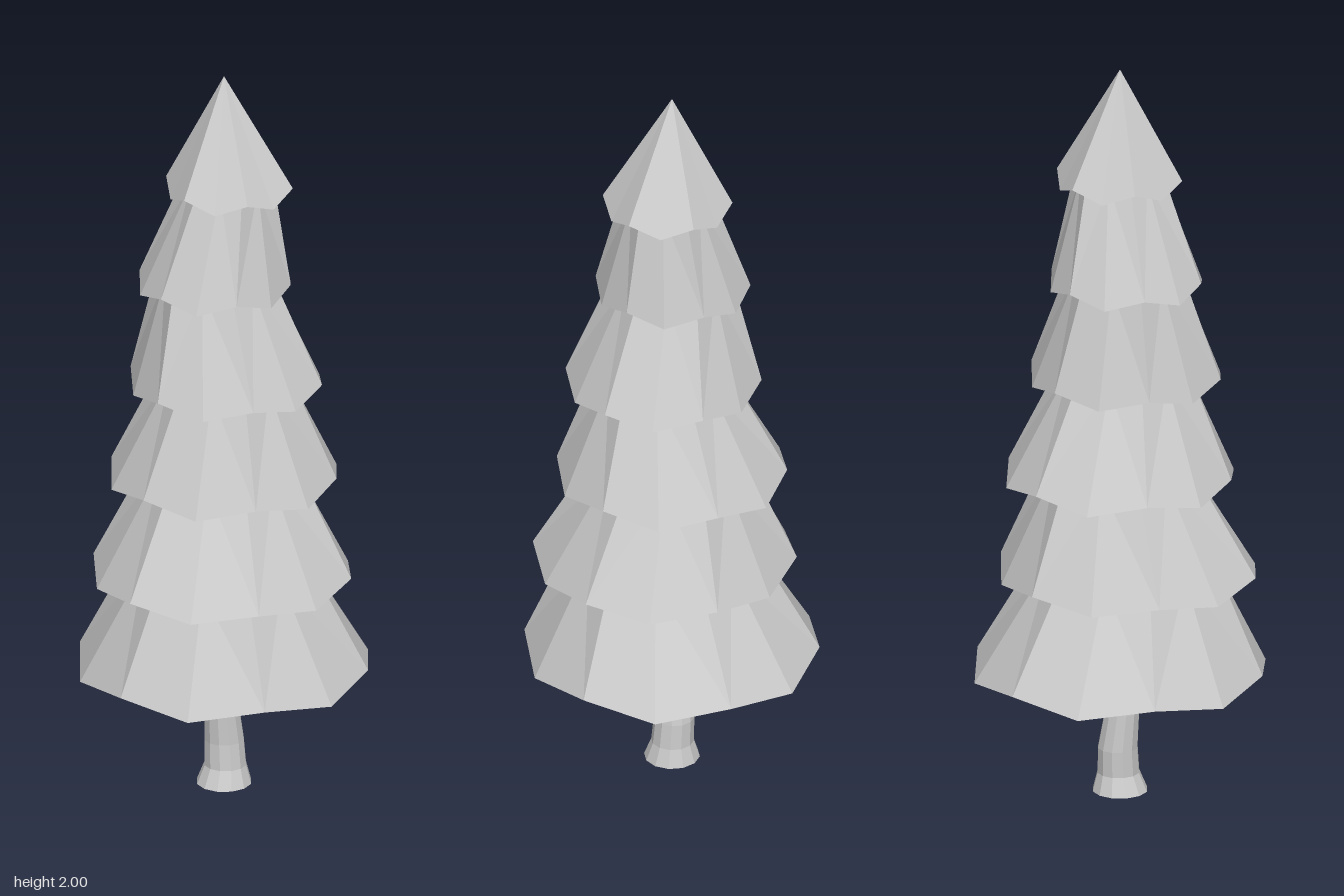
import * as THREE from 'three';

const SIDES = 12;
const material = new THREE.MeshStandardMaterial({ color: 0xcccccc, flatShading: true });

// Ring of points whose radius and height alternate between even and odd corners
function ring(x, z, rEven, yEven, rOdd = rEven, yOdd = yEven) {
  return Array.from({ length: SIDES }, (_, i) => {
    const a = (i / SIDES) * Math.PI * 2;
    const r = i % 2 ? rOdd : rEven;
    return new THREE.Vector3(x + r * Math.cos(a), i % 2 ? yOdd : yEven, z + r * Math.sin(a));
  });
}

// Skin a stack of rings, listed from the bottom up
function loft(name, rings) {
  const positions = [];
  const tri = (a, b, c) => {
    if (a.equals(b) || b.equals(c) || a.equals(c)) return;
    for (const p of [a, b, c]) positions.push(p.x, p.y, p.z);
  };
  for (let k = 0; k < rings.length - 1; k++) {
    const lower = rings[k], upper = rings[k + 1];
    for (let i = 0; i < SIDES; i++) {
      const j = (i + 1) % SIDES;
      // Split each quad so the creases fan out from the odd corners
      if (i % 2) {
        tri(lower[i], upper[i], upper[j]);
        tri(lower[i], upper[j], lower[j]);
      } else {
        tri(lower[i], upper[i], lower[j]);
        tri(upper[i], upper[j], lower[j]);
      }
    }
  }
  const geometry = new THREE.BufferGeometry();
  geometry.setAttribute('position', new THREE.Float32BufferAttribute(positions, 3));
  geometry.computeVertexNormals();
  const mesh = new THREE.Mesh(geometry, material);
  mesh.name = name;
  return mesh;
}

// Branch tiers: rim centre, rim radii and heights, then neck radii and height
const tiers = [
  { x: 0, z: 0, re: 0.39, ro: 0.387, low: 0.328, high: 0.355, ne: 0.215, no: 0.24, ny: 0.64 },
  { x: -0.01, z: 0.02, re: 0.34, ro: 0.346, low: 0.595, high: 0.62, ne: 0.175, no: 0.2, ny: 0.905 },
  { x: 0, z: 0, re: 0.305, ro: 0.302, low: 0.863, high: 0.89, ne: 0.155, no: 0.175, ny: 1.17 },
  { x: 0, z: 0.022, re: 0.252, ro: 0.257, low: 1.133, high: 1.16, ne: 0.135, no: 0.155, ny: 1.45 },
  { x: -0.024, z: 0, re: 0.203, ro: 0.203, low: 1.405, high: 1.432, ne: 0.103, no: 0.119, ny: 1.715 },
  { x: 0.012, z: 0.01, re: 0.16, ro: 0.17, low: 1.672, high: 1.702, ne: 0, no: 0, ny: 2 },
];

export function createModel() {
  const tree = new THREE.Group();
  tree.name = 'pineTree';

  // Gently bent trunk with a flared, closed foot: [x, z, radius, y]
  const trunk = [
    [0, 0, 0, 0], [0, 0, 0.073, 0], [0.004, -0.002, 0.056, 0.05], [0.002, -0.006, 0.053, 0.12],
    [-0.007, 0.001, 0.046, 0.22], [-0.003, 0.002, 0.039, 0.35], [0, 0, 0.037, 0.42],
  ];
  tree.add(loft('trunk', trunk.map(([x, z, r, y]) => ring(x, z, r, y))));

  // Each tier: underside, drooping rim, then slope up to the neck under the next tier
  const foliage = new THREE.Group();
  foliage.name = 'foliage';
  let inner = ring(0, 0, 0.245, 0.395);
  tiers.forEach((t, i) => {
    const next = tiers[i + 1] ?? { x: 0, z: 0 };
    const rim = ring(t.x, t.z, t.re, t.low, t.ro, t.high);
    const neck = ring(next.x, next.z, t.ne, t.ny, t.no, t.ny);
    const rings = [inner, rim, neck];
    if (i === 0) rings.unshift(ring(0, 0, 0, 0.395)); // closed base
    foliage.add(loft(`branchTier${i + 1}`, rings));
    inner = neck;
  });
  tree.add(foliage);
  return tree;
}
